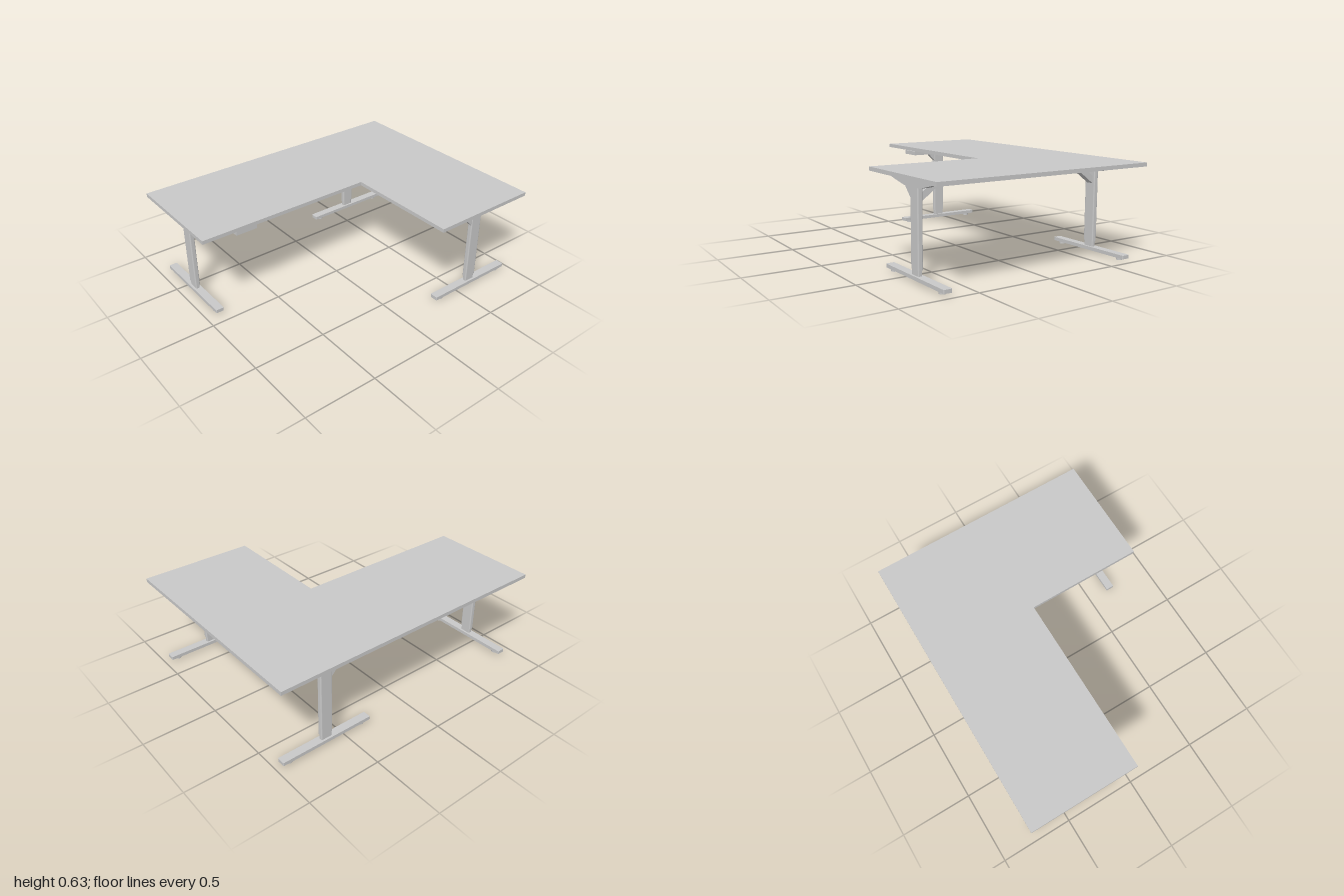
import * as THREE from 'three';

const grey = new THREE.MeshStandardMaterial({ color: 0xc8c8c8 });
grey.name = 'light grey';

function add(parent, name, geometry, x = 0, y = 0, z = 0) {
  const mesh = new THREE.Mesh(geometry, grey);
  mesh.name = name;
  mesh.position.set(x, y, z);
  parent.add(mesh);
  return mesh;
}

// Extrudes a 2D outline, centred on its own depth
function plate(points, depth) {
  const shape = new THREE.Shape(points.map(([x, y]) => new THREE.Vector2(x, y)));
  const geometry = new THREE.ExtrudeGeometry(shape, { depth, bevelEnabled: false });
  return geometry.translate(0, 0, -depth / 2);
}

// Bar with rounded vertical corners, standing on y = 0
function column(width, depth, height, r) {
  const a = width / 2, b = depth / 2;
  const s = new THREE.Shape();
  s.moveTo(-a + r, -b);
  s.lineTo(a - r, -b);
  s.absarc(a - r, -b + r, r, -Math.PI / 2, 0);
  s.absarc(a - r, b - r, r, 0, Math.PI / 2);
  s.absarc(-a + r, b - r, r, Math.PI / 2, Math.PI);
  s.absarc(-a + r, -b + r, r, Math.PI, Math.PI * 1.5);
  const g = new THREE.ExtrudeGeometry(s, { depth: height, bevelEnabled: false, curveSegments: 4 });
  return g.rotateX(-Math.PI / 2);
}

// T-shaped leg whose foot runs along its local x axis
function createLeg(name) {
  const leg = new THREE.Group();
  leg.name = name;
  add(leg, 'foot', column(0.66, 0.056, 0.023, 0.006), 0, 0.015);
  for (const x of [-0.273, 0.273]) {
    add(leg, 'footPad', new THREE.CylinderGeometry(0.021, 0.021, 0.015, 20), x, 0.0075);
  }
  add(leg, 'innerColumn', column(0.076, 0.027, 0.04, 0.006), 0, 0.037);
  add(leg, 'outerColumn', column(0.086, 0.034, 0.49, 0.008), 0, 0.073);
  // Tapered support arm below the top
  add(leg, 'supportArm', plate([
    [-0.293, 0.606], [-0.293, 0.595], [-0.09, 0.553],
    [0.09, 0.553], [0.262, 0.595], [0.262, 0.606],
  ], 0.06));
  add(leg, 'brace', plate([[-0.115, 0.56], [-0.042, 0.485], [-0.042, 0.56]], 0.03));
  return leg;
}

export function createModel() {
  const desk = new THREE.Group();
  desk.name = 'cornerDesk';

  // L-shaped top
  const top = plate([
    [-1, 0.775], [-1, 0.02], [0.23, 0.02], [0.23, -0.77], [1, -0.77], [1, 0.775],
  ], 0.025);
  top.rotateX(-Math.PI / 2);
  add(desk, 'deskTop', top, 0, 0.6175, 0);

  // Three legs, the end one turned a quarter
  for (const [name, x, z, turn] of [
    ['frontLeg', 0.627, 0.674, 0],
    ['cornerLeg', 0.627, -0.668, 0],
    ['endLeg', -0.9, -0.412, Math.PI / 2],
  ]) {
    const leg = createLeg(name);
    leg.position.set(x, 0, z);
    leg.rotation.y = turn;
    desk.add(leg);
  }

  // Cross beam with sloping ends, running front to back
  const beam = plate([
    [-0.655, 0.465], [-0.53, 0.557], [0.53, 0.557], [0.655, 0.465],
    [0.655, 0.515], [0.545, 0.6], [-0.545, 0.6], [-0.655, 0.515],
  ], 0.05);
  beam.rotateY(-Math.PI / 2);
  add(desk, 'crossBeam', beam, 0.627, 0, 0.003);

  // Control box under the end of the top
  add(desk, 'controlBox', new THREE.BoxGeometry(0.15, 0.028, 0.61), -0.685, 0.586, -0.335);
  for (const z of [-0.58, -0.09]) {
    add(desk, 'boxMount', new THREE.BoxGeometry(0.1, 0.008, 0.04), -0.685, 0.603, z);
  }
  return desk;
}
